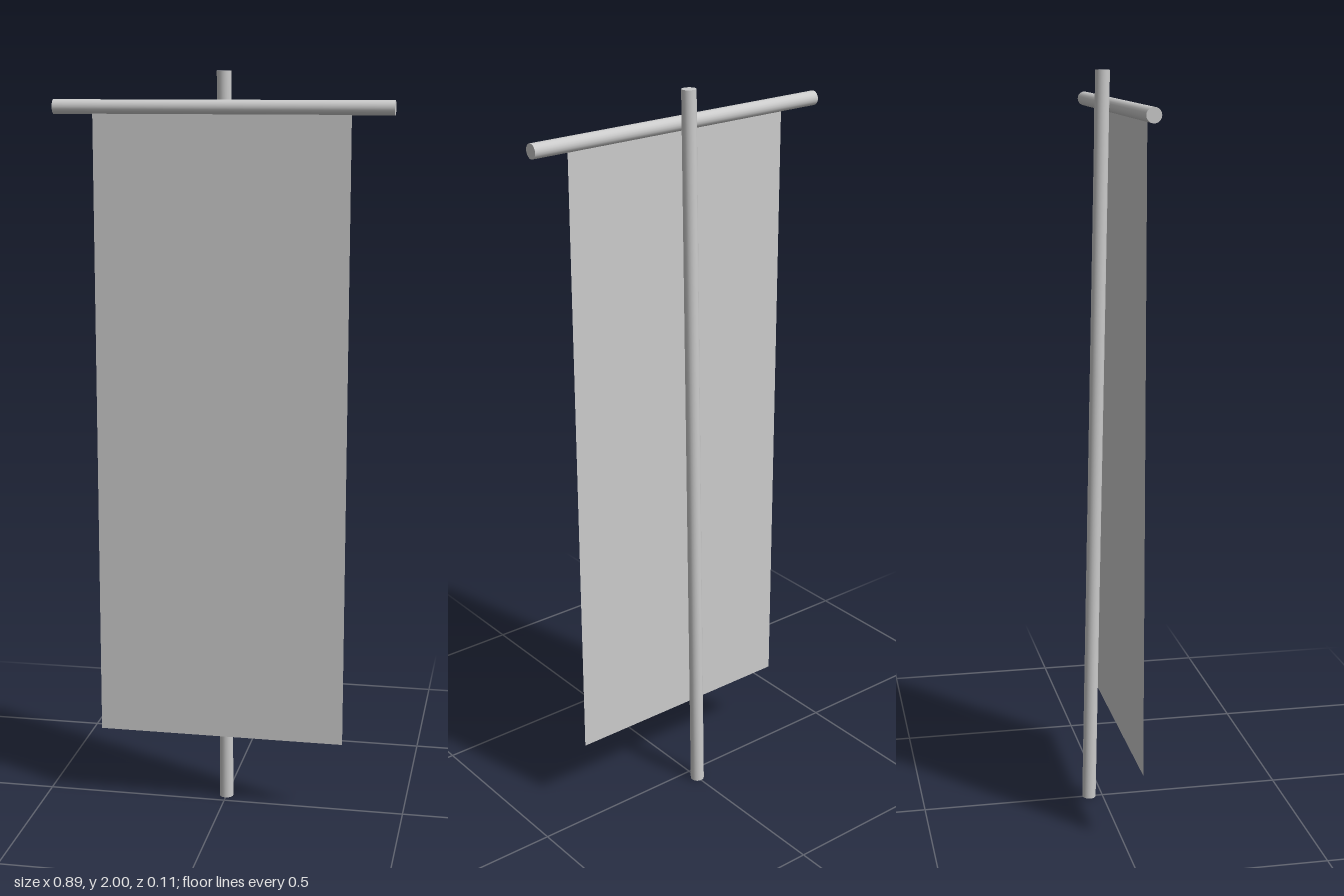
import * as THREE from 'three';

export function createModel() {
  const group = new THREE.Group();
  const material = new THREE.MeshStandardMaterial({ color: 0xcccccc });
  const clothMaterial = new THREE.MeshStandardMaterial({ color: 0xcccccc, side: THREE.DoubleSide });

  // Round rod running between two points
  function addRod(name, from, to, radius) {
    const axis = to.clone().sub(from);
    const rod = new THREE.Mesh(new THREE.CylinderGeometry(radius, radius, axis.length(), 20), material);
    rod.name = name;
    rod.position.copy(from).add(to).multiplyScalar(0.5);
    rod.quaternion.setFromUnitVectors(new THREE.Vector3(0, 1, 0), axis.normalize());
    group.add(rod);
  }

  // Pole leaning slightly forward
  addRod('pole', new THREE.Vector3(0, 0, -0.038), new THREE.Vector3(0, 2, 0.001), 0.019);

  // Crossbar resting against the front of the pole
  addRod('crossbar', new THREE.Vector3(-0.444, 1.909, 0.036), new THREE.Vector3(0.444, 1.909, 0.036), 0.019);

  // Flat cloth hanging straight down from the crossbar
  const top = 1.9, bottom = 0.207;
  const cloth = new THREE.Mesh(new THREE.PlaneGeometry(0.674, top - bottom), clothMaterial);
  cloth.name = 'bannerCloth';
  cloth.position.set(-0.002, (top + bottom) / 2, 0.043);
  group.add(cloth);

  return group;
}
